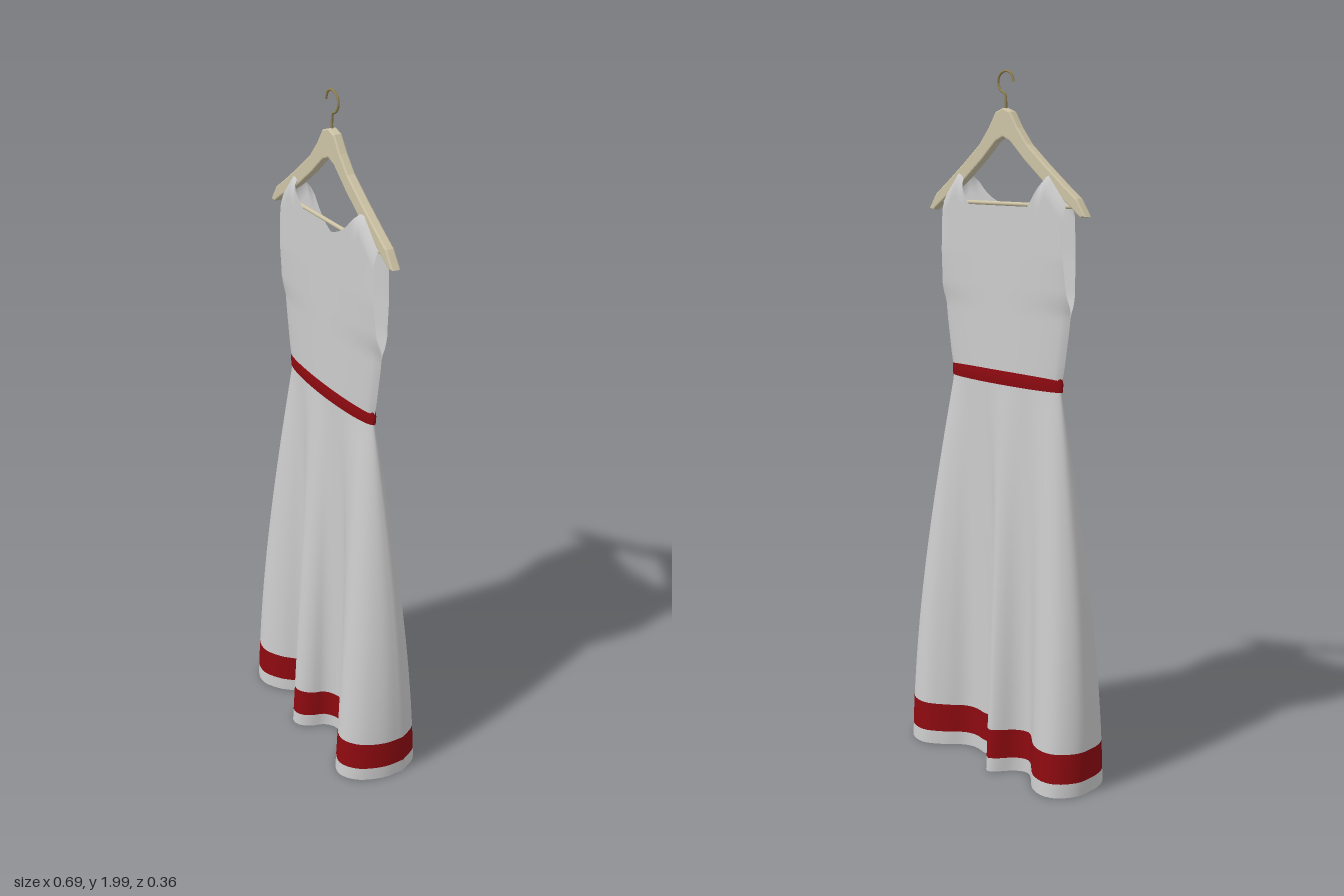
import * as THREE from 'three';

const TURN = 0.252, CX = -0.007, CZ = -0.013; // the dress hangs slightly turned
const CLOTH = 0xcccccc, RED = 0x8c0a10, WOOD = 0xcdc3a5, WIRE = 0x8f8152;

function mesh(name, geometry, color, side = THREE.FrontSide) {
  const m = new THREE.Mesh(geometry, new THREE.MeshStandardMaterial({ color, side }));
  m.name = name;
  return m;
}

// Surface from a rule point(i, j); closed wraps the columns
function grid(rows, cols, point, closed = false) {
  const pos = [], index = [], w = closed ? cols : cols + 1;
  for (let i = 0; i <= rows; i++) for (let j = 0; j < w; j++) pos.push(...point(i, j));
  for (let i = 0; i < rows; i++) for (let j = 0; j < cols; j++) {
    const k = (j + 1) % w, a = i * w + j, b = i * w + k, c = a + w, d = b - a + c;
    index.push(a, c, b, b, c, d);
  }
  const g = new THREE.BufferGeometry();
  g.setAttribute('position', new THREE.Float32BufferAttribute(pos, 3));
  g.setIndex(index);
  g.computeVertexNormals();
  return g;
}

// Piecewise linear lookup in [x, y] pairs
function lookup(table, x) {
  for (let i = 1; i < table.length; i++) {
    const [x0, y0] = table[i - 1], [x1, y1] = table[i];
    if (x <= x1) return y0 + (y1 - y0) * Math.max(0, (x - x0) / (x1 - x0));
  }
  return table[table.length - 1][1];
}

const toWorld = (x, z) => [
  CX + x * Math.cos(TURN) - z * Math.sin(TURN),
  CZ + x * Math.sin(TURN) + z * Math.cos(TURN),
];

// Hem line as [x, z], front and back halves running between the two side seams
const HEM_FRONT = [[-0.345, -0.06], [-0.342, -0.025], [-0.324, 0.014], [-0.272, 0.04], [-0.21, 0.026],
  [-0.14, -0.016], [-0.108, -0.005], [-0.085, 0.07], [-0.058, 0.106], [-0.03, 0.107], [0, 0.085],
  [0.022, 0.05], [0.058, 0.034], [0.113, 0.045], [0.15, 0.113], [0.197, 0.168], [0.23, 0.18],
  [0.28, 0.16], [0.328, 0.095], [0.345, 0.03]];
const HEM_BACK = [[0.345, 0.03], [0.324, -0.036], [0.264, -0.068], [0.197, -0.046], [0.14, -0.012],
  [0.1, -0.012], [0.058, -0.03], [0.005, -0.036], [-0.005, -0.1], [-0.022, -0.133], [-0.045, -0.125],
  [-0.09, -0.085], [-0.13, -0.079], [-0.2, -0.16], [-0.245, -0.183], [-0.287, -0.178], [-0.333, -0.13],
  [-0.345, -0.06]];
const HALF = 64;

function hemLine() {
  const half = (pts) => new THREE.CatmullRomCurve3(pts.map(([x, z]) => new THREE.Vector3(x, 0, z)))
    .getSpacedPoints(HALF).slice(0, HALF);
  return [...half(HEM_FRONT), ...half(HEM_BACK)];
}

function waistPoint(j, grow = 0) {
  const t = (Math.PI * j) / HALF;
  return toWorld(-(0.228 + grow) * Math.cos(t), (0.028 + grow) * Math.sin(t));
}

// Skirt section between two heights, blending the waist into the folded hem
function skirtSection(name, hem, yTop, yBottom, rows, color) {
  return mesh(name, grid(rows, HALF * 2, (i, j) => {
    const y = yTop + (yBottom - yTop) * (i / rows);
    const t = Math.min(1, Math.max(0, (1.14 - y) / 1.128));
    const fx = Math.sin((t * Math.PI) / 2), fz = 0.8 * t + 0.2 * t * (2 - t);
    const [x, z] = waistPoint(j);
    return [x + (hem[j].x - x) * fx, y, z + (hem[j].z - z) * fz];
  }, true), color, THREE.DoubleSide);
}

const WIDTH = [[1.14, 0.228], [1.2, 0.242], [1.3, 0.259], [1.37, 0.268], [1.42, 0.262], [1.5, 0.257],
  [1.6, 0.255], [1.66, 0.257], [1.74, 0.25]];
const ARM_GAP = [[1.35, 0], [1.4, 0.016], [1.5, 0.024], [1.74, 0.02]];

// One bodice panel: neckline in the middle, straps at the sides, open armholes
function bodicePanel(name, side, neckY) {
  const rows = 32, cols = 48, strap = 0.73;
  return mesh(name, grid(rows, cols, (i, j) => {
    const u = (j / cols) * 2 - 1, a = Math.abs(u);
    const top = a < strap
      ? neckY + (1.738 - neckY) * (a / strap) ** 2.5
      : 1.738 - 0.08 * ((a - strap) / (1 - strap));
    const y = 1.15 + (top - 1.15) * (i / rows);
    const gap = lookup(ARM_GAP, y);
    let depth = gap + (0.033 - gap) * Math.sqrt(1 - u * u);
    // close over the hanger at the shoulders
    const seam = THREE.MathUtils.smoothstep(a, strap - 0.14, strap);
    depth *= 1 - seam * (1 - Math.sqrt(Math.min(1, (top - y) / 0.05)));
    return [u * lookup(WIDTH, y), y, side * depth];
  }), CLOTH, THREE.DoubleSide);
}

function hanger() {
  const g = new THREE.Group();
  g.name = 'hanger';
  // Wooden arms
  const top = [[0.03, 1.888], [0.06, 1.845], [0.1, 1.8], [0.17, 1.747], [0.25, 1.69], [0.295, 1.66], [0.328, 1.614]];
  const under = [[0.31, 1.611], [0.27, 1.638], [0.17, 1.698], [0.09, 1.757], [0.03, 1.808]];
  const right = [...top, ...under];
  const outline = [[0, 1.898], ...right, [0, 1.82], ...right.map(([x, y]) => [-x, y]).reverse()];
  const shape = new THREE.Shape(outline.map(([x, y]) => new THREE.Vector2(x, y)));
  const arms = new THREE.ExtrudeGeometry(shape, {
    depth: 0.018, bevelEnabled: true, bevelSize: 0.004, bevelThickness: 0.004, bevelOffset: -0.004, bevelSegments: 2,
  });
  arms.translate(0, 0, -0.009);
  g.add(mesh('hangerArms', arms, WOOD));
  // Cross bar
  const bar = mesh('hangerBar', new THREE.CylinderGeometry(0.006, 0.006, 0.56, 10), WOOD);
  bar.rotation.z = Math.PI / 2;
  bar.position.y = 1.638;
  g.add(bar);
  // Wire hook
  const path = [[0, 1.88], [0, 1.92], [0.004, 1.936], [0.022, 1.946], [0.033, 1.966], [0.024, 1.988],
    [0, 1.997], [-0.022, 1.989], [-0.032, 1.968]];
  const curve = new THREE.CatmullRomCurve3(path.map(([x, y]) => new THREE.Vector3(x, y, 0)));
  g.add(mesh('hangerHook', new THREE.TubeGeometry(curve, 48, 0.0035, 8), WIRE, THREE.DoubleSide));
  return g;
}

export function createModel() {
  const model = new THREE.Group();
  model.name = 'dressOnHanger';

  // Skirt with a red band above the hem
  const hem = hemLine();
  model.add(
    skirtSection('skirt', hem, 1.15, 0.135, 32, CLOTH),
    skirtSection('skirtBand', hem, 0.135, 0.05, 4, RED),
    skirtSection('skirtHem', hem, 0.05, 0.01, 2, CLOTH),
  );

  // Waist belt
  model.add(mesh('belt', grid(4, HALF * 2, (i, j) => {
    const [x, z] = waistPoint(j, 0.005 + 0.002 * Math.sin((i / 4) * Math.PI));
    return [x, 1.175 - 0.04 * (i / 4), z];
  }, true), RED, THREE.DoubleSide));

  // Bodice and hanger share the turned frame
  const upper = new THREE.Group();
  upper.name = 'upperPart';
  upper.position.set(CX, 0, CZ);
  upper.rotation.y = -TURN;
  upper.add(bodicePanel('bodiceFront', 1, 1.632), bodicePanel('bodiceBack', -1, 1.578), hanger());
  model.add(upper);
  return model;
}
